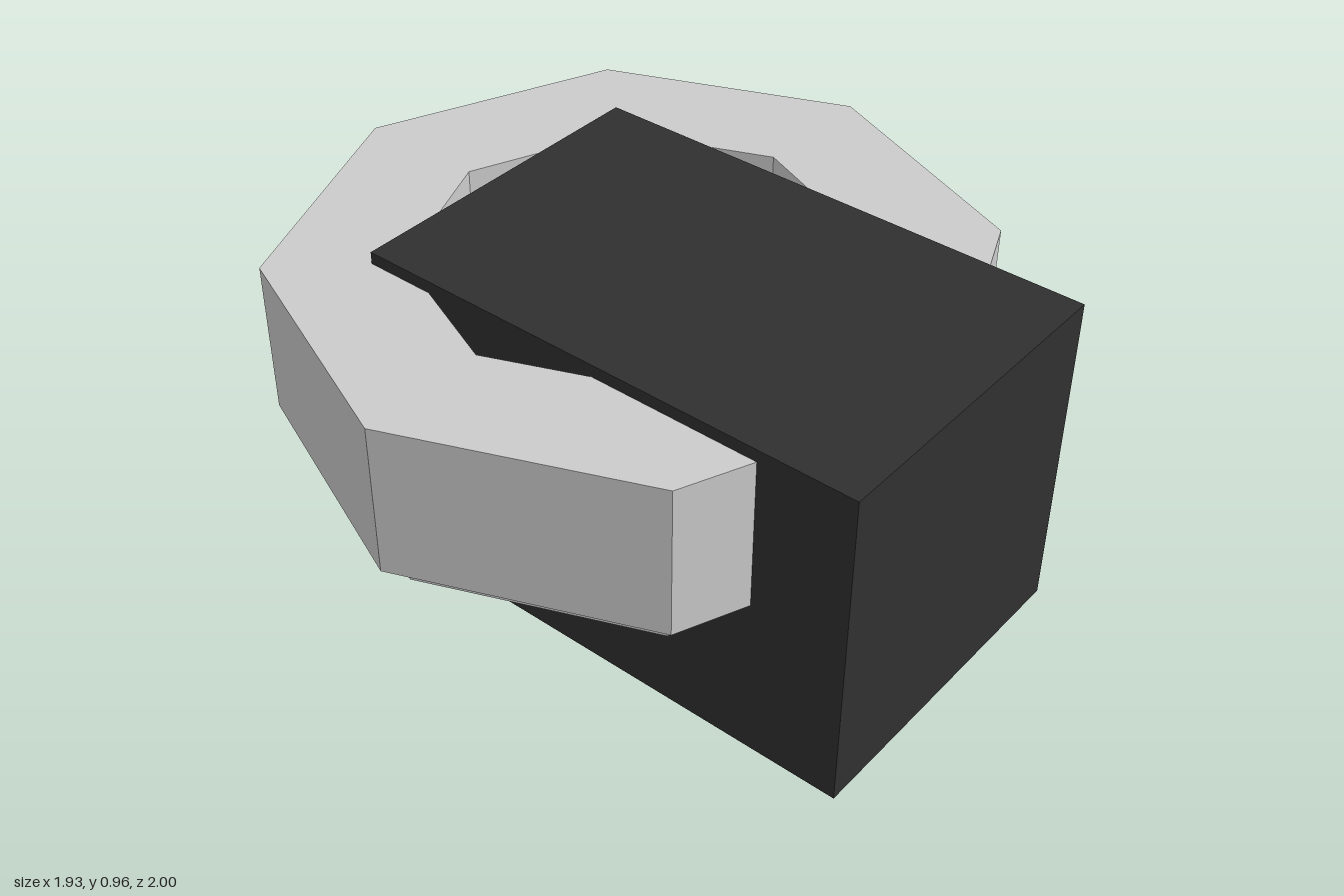
import * as THREE from 'three';

const mat = (color) => new THREE.MeshStandardMaterial({ color, flatShading: true });

// Closed octagon path with corners on the axes
function octagon(PathType, radius) {
  const pts = [];
  for (let i = 0; i < 8; i++) {
    const a = (i * Math.PI) / 4;
    pts.push(new THREE.Vector2(radius * Math.cos(a), radius * Math.sin(a)));
  }
  return new PathType(pts);
}

export function createModel() {
  const group = new THREE.Group();
  const dark = mat(0x303030);
  const grey = mat(0x606060);
  const light = mat(0xcccccc);
  const blue = mat(0x2040c0);

  // Box given by its min and max corners
  function box(name, material, [x0, y0, z0], [x1, y1, z1]) {
    const mesh = new THREE.Mesh(new THREE.BoxGeometry(x1 - x0, y1 - y0, z1 - z0), material);
    mesh.position.set((x0 + x1) / 2, (y0 + y1) / 2, (z0 + z1) / 2);
    mesh.name = name;
    group.add(mesh);
  }

  // Eight-sided ring lying flat
  function ring(name, outer, inner, y0, y1) {
    const shape = octagon(THREE.Shape, outer);
    shape.holes.push(octagon(THREE.Path, inner));
    const geo = new THREE.ExtrudeGeometry(shape, { depth: y1 - y0, bevelEnabled: false });
    geo.rotateX(-Math.PI / 2);
    const mesh = new THREE.Mesh(geo, light);
    mesh.position.set(0, y0, -0.04);
    mesh.name = name;
    group.add(mesh);
  }

  // Main housing
  box('housing', dark, [-0.483, 0, -0.515], [0.48, 0.965, 1]);

  // Surrounding canopy with a thin lower skirt
  ring('canopy', 0.963, 0.595, 0.485, 0.93);
  ring('canopySkirt', 0.872, 0.8, 0.392, 0.485);

  // Two raised panels on the left side
  for (const [z0, z1] of [[0.295, 0.95], [-0.465, 0.19]]) {
    box('sidePanel', grey, [0.47, 0.055, z0], [0.505, 0.915, z1]);
  }

  // Shelf under the canopy and its blue fittings
  box('shelf', grey, [0.47, 0.455, -0.515], [0.671, 0.484, 0.45]);
  for (const z of [0.11, 0.38]) {
    box('shelfFitting', blue, [0.5, 0.445, z - 0.015], [0.535, 0.495, z + 0.015]);
  }

  // Flush panels on the back wall
  for (const [x0, x1] of [[-0.12, 0.07], [0.115, 0.475]]) {
    box('backPanel', grey, [x0, 0.455, -0.517], [x1, 0.56, -0.5]);
  }

  // Handle on the right side
  box('handleGrip', grey, [-0.53, 0.44, -0.13], [-0.5, 0.48, 0.06]);
  for (const z of [-0.13, 0.03]) {
    box('handleMount', grey, [-0.5, 0.44, z], [-0.475, 0.48, z + 0.03]);
  }
  return group;
}
